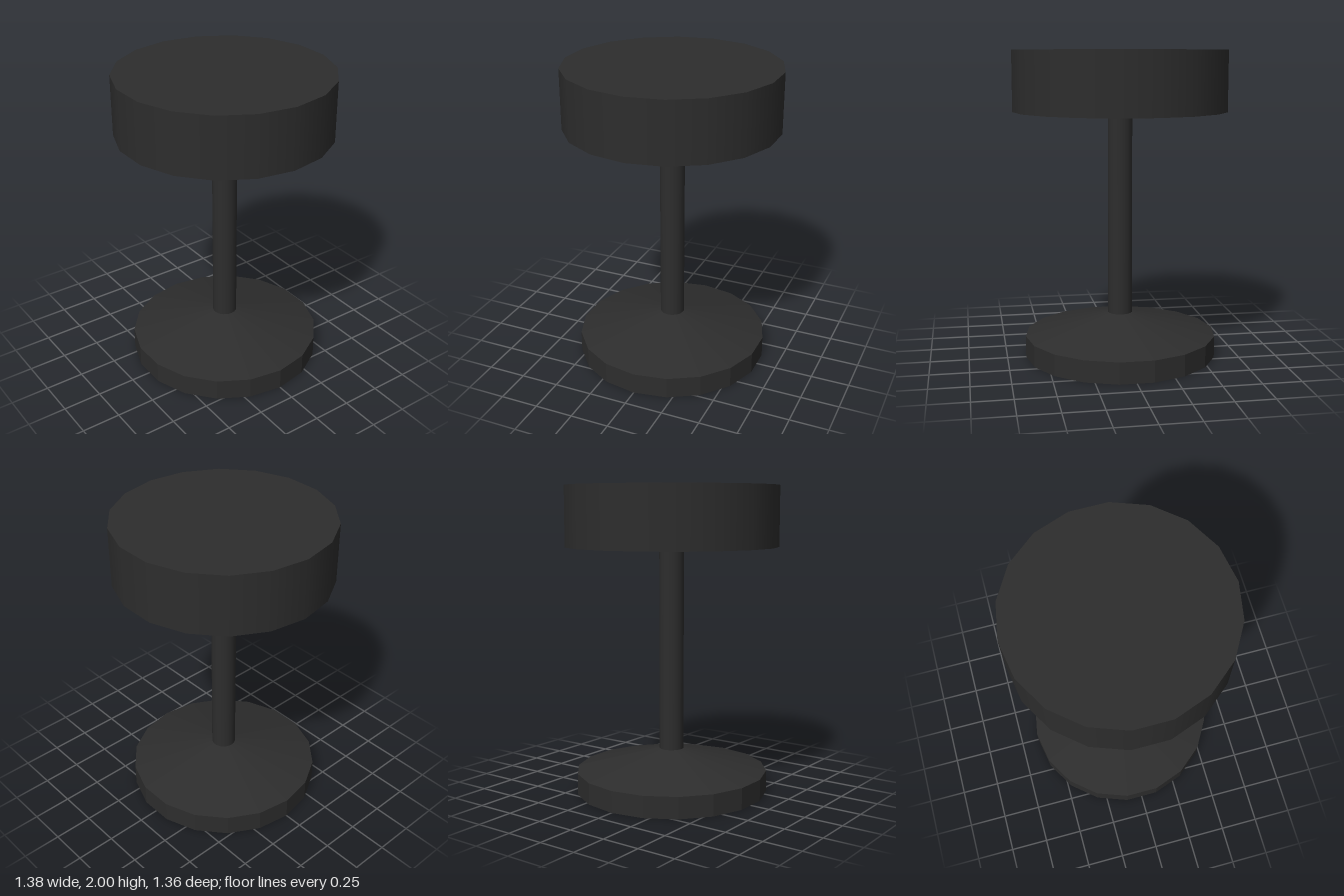
import * as THREE from 'three';

const SIDES = 18;

export function createModel() {
  const model = new THREE.Group();
  model.name = 'pedestalStool';

  const black = new THREE.MeshStandardMaterial({ color: 0x2d2d2d });
  black.name = 'charcoal black';

  // Round part between two heights, with a corner pointing along +x
  function addRound(name, topRadius, bottomRadius, y0, y1, { flat = false, open = false } = {}) {
    let geometry = new THREE.CylinderGeometry(topRadius, bottomRadius, y1 - y0, SIDES, 1, open, Math.PI / 2);
    if (flat) {
      geometry = geometry.toNonIndexed();
      geometry.computeVertexNormals();
    }
    const mesh = new THREE.Mesh(geometry, black);
    mesh.name = name;
    mesh.position.y = (y0 + y1) / 2;
    model.add(mesh);
  }

  // Faceted foot: upright rim and sloping top
  addRound('baseRim', 0.628, 0.628, 0, 0.14, { flat: true });
  addRound('baseSlope', 0.08, 0.628, 0.14, 0.28, { flat: true, open: true });

  // Smooth post and thick seat
  addRound('post', 0.08, 0.08, 0.28, 1.61, { open: true });
  addRound('seat', 0.69, 0.69, 1.61, 2);

  return model;
}
